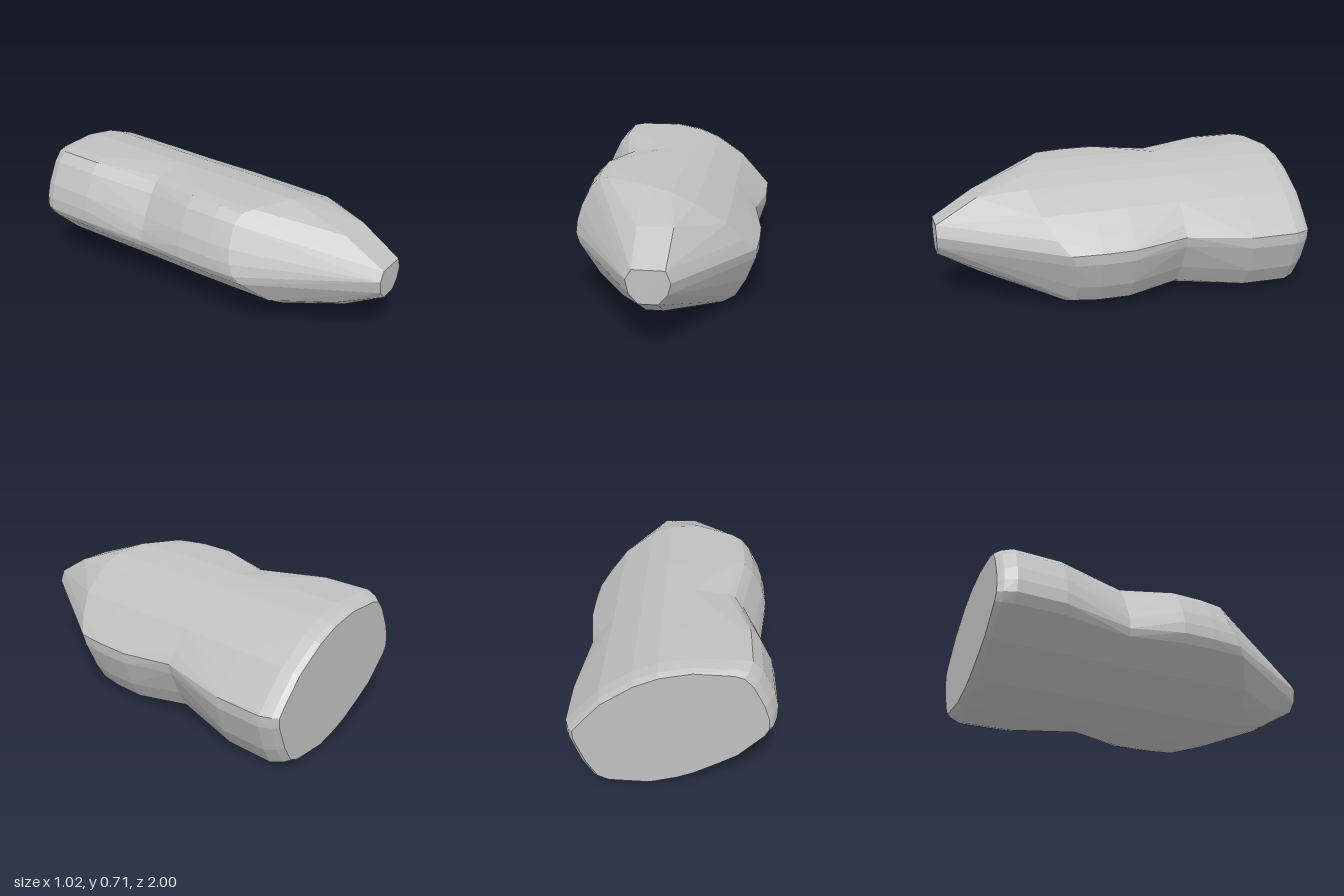
import * as THREE from 'three';
import { ConvexGeometry } from 'three/addons/geometries/ConvexGeometry.js';

// Slanted oval cross-section at its fullest
const outline = [
  [-0.51, 0.45], [-0.49, 0.53], [-0.43, 0.65], [-0.38, 0.7], [-0.32, 0.71], [-0.1, 0.71],
  [0.06, 0.68], [0.18, 0.63], [0.34, 0.52], [0.44, 0.41], [0.51, 0.33], [0.51, 0.27],
  [0.46, 0.12], [0.4, 0.02], [0.33, 0], [0.1, 0], [-0.04, 0.035], [-0.12, 0.065],
  [-0.24, 0.13], [-0.34, 0.19], [-0.48, 0.33], [-0.51, 0.38],
];
const midY = 0.355;
const axis = new THREE.Vector2(0.87, -0.5).normalize();

// Section with its long ends pinched and its breadth scaled; bend pulls the long ends back
function section(z, pinch, across, bend = 0) {
  return outline.map(([x, y]) => {
    const dy = y - midY;
    const a = x * axis.x + dy * axis.y;
    const b = -x * axis.y + dy * axis.x;
    const u = a * (1 - pinch * 4 * a * a), v = b * across;
    return new THREE.Vector3(u * axis.x - v * axis.y, midY + u * axis.y + v * axis.x, z - bend * a * a);
  });
}

const points = (list, z) => list.map(([x, y]) => new THREE.Vector3(x, y, z));

export function createModel() {
  const group = new THREE.Group();
  group.name = 'asteroid';
  const stone = new THREE.MeshStandardMaterial({ color: 0xc0c0c0 });
  stone.name = 'light grey stone';

  const add = (name, pts) => {
    const mesh = new THREE.Mesh(new ConvexGeometry(pts), stone);
    mesh.name = name;
    group.add(mesh);
  };

  const waist = section(-0.28, 0.16, 0.98);

  // Front lobe: waist, belly, bent shoulder, then a taper to a blunt octagonal tip
  add('frontLobe', [
    ...waist,
    ...section(0.02, 0.035, 0.98),
    ...section(0.2, 0.035, 0.97),
    ...section(0.52, 0.06, 0.95, 0.75),
    ...points([[-0.08, 0.575], [0.1, 0.575], [0.05, 0.14], [-0.04, 0.14], [-0.15, 0.21]], 0.78),
    ...points([
      [-0.07, 0.44], [0.09, 0.44], [0.115, 0.38], [0.1, 0.32],
      [0.055, 0.27], [-0.04, 0.27], [-0.085, 0.32], [-0.1, 0.39],
    ], 1),
  ]);

  // Back lobe: swells from the waist and ends in a rounded bevel and a flat face
  add('backLobe', [
    ...waist,
    ...section(-0.65, 0.005, 0.995),
    ...section(-0.91, 0, 1),
    ...section(-0.97, 0.05, 0.97),
    ...section(-1, 0.1, 0.92),
  ]);
  return group;
}
